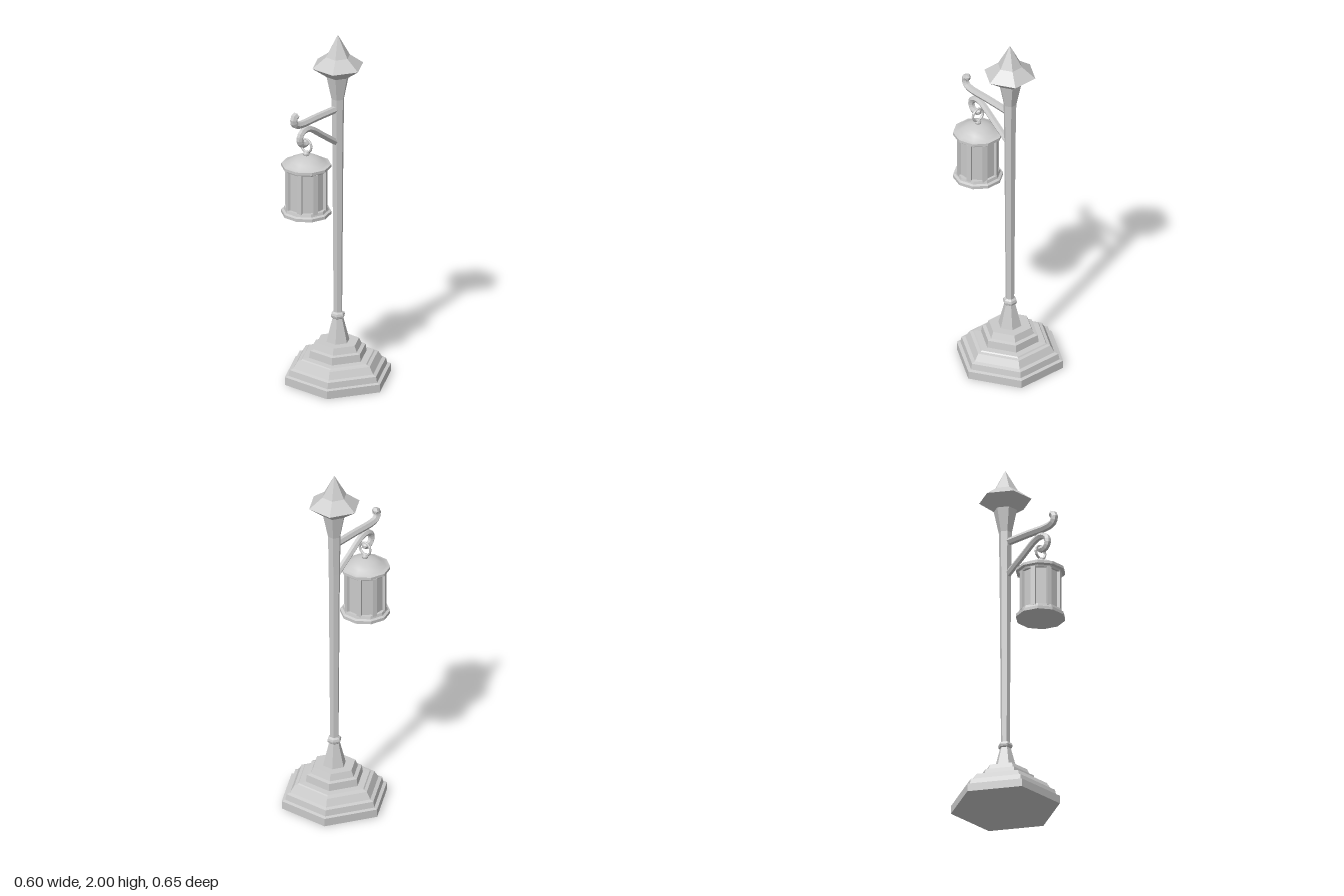
import * as THREE from 'three';

const iron = new THREE.MeshStandardMaterial({ color: 0xcacaca });
iron.name = 'light grey iron';

const POLE_Z = -0.063, LAMP_Z = 0.194;

// Faceted mesh with hard edges
function faceted(geometry, name) {
  const g = geometry.index ? geometry.toNonIndexed() : geometry;
  g.computeVertexNormals();
  const mesh = new THREE.Mesh(g, iron);
  mesh.name = name;
  return mesh;
}

// Turned part with few sides; profile is [radius, height] from bottom to top
function turned(profile, sides, start, z, name) {
  const points = profile.map(([r, y]) => new THREE.Vector2(r, y));
  const mesh = faceted(new THREE.LatheGeometry(points, sides, start), name);
  mesh.position.z = z;
  return mesh;
}

// Bent hexagonal bar in the plane x = 0; path is [z, y], with a pyramid tip.
// A path that starts slightly sloped keeps the bar's side ridges along x.
function bar(path, radius, steps, name) {
  const group = new THREE.Group();
  group.name = name;
  const points = path.map(([z, y]) => new THREE.Vector3(0, y, z));
  const curve = new THREE.CatmullRomCurve3(points, false, 'centripetal');
  group.add(faceted(new THREE.TubeGeometry(curve, steps, radius, 6), name + 'Rod'));
  const cone = new THREE.ConeGeometry(radius, 0.012, 6, 1, false, Math.PI / 6);
  const tip = faceted(cone.translate(0, 0.006, 0), name + 'Tip');
  tip.position.copy(points[points.length - 1]);
  tip.quaternion.setFromUnitVectors(new THREE.Vector3(0, 1, 0), curve.getTangent(1));
  group.add(tip);
  return group;
}

export function createModel() {
  const model = new THREE.Group();
  model.name = 'streetLamp';
  const hex = Math.PI / 6, deca = Math.PI / 10;

  // Stepped hexagonal plinth and tapered foot
  model.add(turned([
    [0, 0], [0.3, 0], [0.3, 0.045], [0.28, 0.05], [0.273, 0.083], [0.252, 0.09],
    [0.228, 0.128], [0.209, 0.132], [0.203, 0.138], [0.163, 0.14], [0.157, 0.18],
    [0.135, 0.185], [0.12, 0.22], [0.065, 0.22], [0.03, 0.355], [0, 0.355],
  ], 6, hex, POLE_Z, 'base'));

  // Collar above the foot
  model.add(turned([
    [0.026, 0.35], [0.037, 0.358], [0.04, 0.37], [0.036, 0.382], [0.024, 0.39],
  ], 6, hex, POLE_Z, 'collar'));

  // Slender pole, flaring into the pointed finial
  model.add(turned([
    [0.024, 0.36], [0.032, 1.4], [0.036, 1.63], [0.064, 1.762],
  ], 6, hex, POLE_Z, 'pole'));
  model.add(turned([
    [0.064, 1.762], [0.144, 1.82], [0.068, 1.877], [0, 2],
  ], 6, hex, POLE_Z, 'finial'));

  // Bracket: straight arm with upturned hook, and a brace ending in a scroll
  model.add(bar([
    [-0.05, 1.572], [0.1, 1.573], [0.25, 1.573], [0.283, 1.584], [0.296, 1.61],
    [0.289, 1.631], [0.274, 1.635],
  ], 0.0205, 24, 'arm'));
  model.add(bar([
    [-0.05, 1.378], [0.06, 1.454], [0.16, 1.522], [0.2, 1.531], [0.235, 1.516],
    [0.247, 1.485], [0.235, 1.457], [0.208, 1.448], [0.186, 1.459],
  ], 0.0185, 28, 'brace'));

  // Lantern hung from a ring
  const lantern = new THREE.Group();
  lantern.name = 'lantern';
  model.add(lantern);

  const ring = faceted(new THREE.TorusGeometry(0.037, 0.007, 6, 12), 'hangingRing');
  ring.position.set(0, 1.435, LAMP_Z);
  lantern.add(ring);

  lantern.add(turned([
    [0, 1.043], [0.135, 1.043], [0.135, 1.06], [0.122, 1.066], [0.118, 1.082], [0, 1.082],
  ], 10, deca, LAMP_Z, 'lanternBase'));
  lantern.add(turned([
    [0, 1.3], [0.116, 1.3], [0.12, 1.31], [0.135, 1.315], [0.135, 1.33],
  ], 10, deca, LAMP_Z, 'lanternRim'));

  // Softly rounded roof and its knob
  const roofProfile = [[0.135, 1.33], [0.112, 1.335], [0.09, 1.354], [0.06, 1.369], [0.03, 1.378], [0, 1.381]];
  const roof = new THREE.Mesh(new THREE.LatheGeometry(
    roofProfile.map(([r, y]) => new THREE.Vector2(r, y)), 10, deca), iron);
  roof.name = 'lanternRoof';
  roof.position.z = LAMP_Z;
  lantern.add(roof);
  lantern.add(turned([
    [0.014, 1.374], [0.018, 1.39], [0.012, 1.402], [0, 1.408],
  ], 8, 0, LAMP_Z, 'lanternKnob'));

  // Eight flat panes between corner posts
  lantern.add(turned([[0.106, 1.075], [0.106, 1.305]], 8, Math.PI / 8, LAMP_Z, 'lanternPanes'));
  for (let i = 0; i < 8; i++) {
    const a = Math.PI / 8 + i * Math.PI / 4;
    const post = faceted(new THREE.BoxGeometry(0.026, 0.23, 0.018), 'lanternPost');
    post.position.set(Math.sin(a) * 0.107, 1.19, LAMP_Z + Math.cos(a) * 0.107);
    post.rotation.y = a;
    lantern.add(post);
  }
  return model;
}
